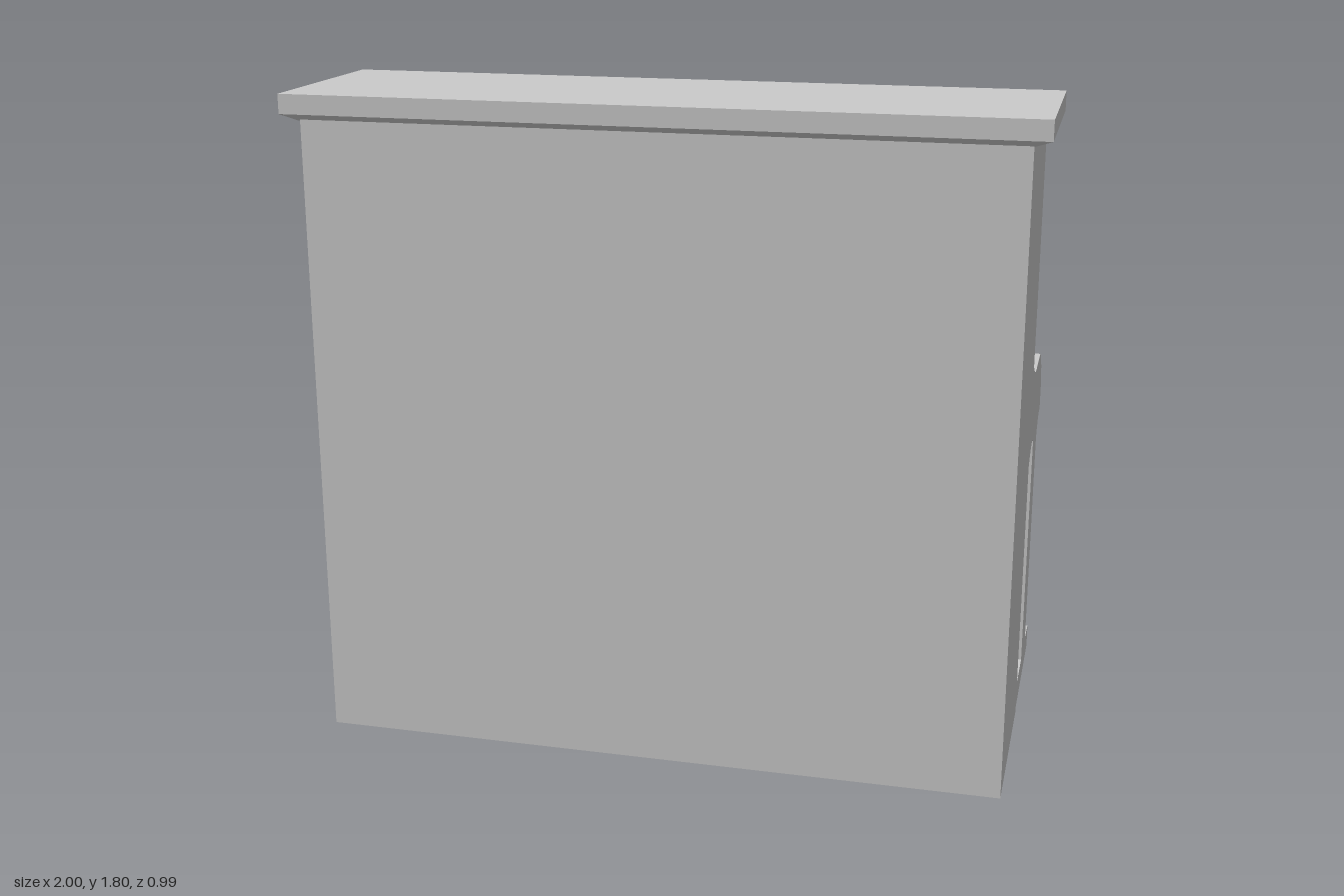
import * as THREE from 'three';

const material = new THREE.MeshStandardMaterial({ color: 0xcccccc, flatShading: true });

function addMesh(parent, name, geometry) {
  const mesh = new THREE.Mesh(geometry, material);
  mesh.name = name;
  parent.add(mesh);
  return mesh;
}

// Box given by its minimum and maximum on each axis
function addBox(parent, name, [x0, x1], [y0, y1], [z0, z1]) {
  const box = addMesh(parent, name, new THREE.BoxGeometry(x1 - x0, y1 - y0, z1 - z0));
  box.position.set((x0 + x1) / 2, (y0 + y1) / 2, (z0 + z1) / 2);
  return box;
}

// Side profile with points [depth towards -z, height], swept from x0 to x1
function sweep(shape, x0, x1) {
  const geometry = new THREE.ExtrudeGeometry(shape, { depth: x1 - x0, bevelEnabled: false, curveSegments: 8 });
  return geometry.rotateY(Math.PI / 2).translate(x0, 0, 0);
}

function polygon(points) {
  return new THREE.Shape(points.map(([d, y]) => new THREE.Vector2(d, y)));
}

// Scrolled arm, leg and foot as one profile
function sideFrameShape() {
  const s = new THREE.Shape();
  s.moveTo(0.04, 1.05);
  s.quadraticCurveTo(0.12, 1.0, 0.18, 1.0);
  s.lineTo(0.36, 1.0);
  s.bezierCurveTo(0.42, 0.985, 0.465, 0.93, 0.493, 0.875);
  s.lineTo(0.493, 0.795);
  s.lineTo(0.455, 0.795);
  s.quadraticCurveTo(0.41, 0.785, 0.37, 0.74);
  s.lineTo(0.37, 0.092);
  s.lineTo(0.42, 0.092);
  s.lineTo(0.493, 0.082);
  s.lineTo(0.493, 0.015);
  s.lineTo(0.04, 0.015);
  s.lineTo(0.04, 0.095);
  s.lineTo(0.21, 0.092);
  s.lineTo(0.21, 0.78);
  s.quadraticCurveTo(0.13, 0.82, 0.04, 0.75);
  s.closePath();
  return s;
}

export function createModel() {
  const piano = new THREE.Group();
  piano.name = 'uprightPiano';

  // Tall case
  addBox(piano, 'case', [-0.945, 0.955], [0, 1.74], [-0.045, 0.485]);

  // Lid with a chamfered lower edge
  const lid = new THREE.BoxGeometry(2, 0.07, 0.555, 1, 2, 1);
  const p = lid.attributes.position;
  for (let i = 0; i < p.count; i++) {
    const y = p.getY(i);
    if (Math.abs(y) < 0.01) p.setY(i, -0.018);
    else if (y < 0) p.setXYZ(i, p.getX(i) * 0.95, y, p.getZ(i) * 0.955);
  }
  lid.computeVertexNormals();
  addMesh(piano, 'lid', lid).position.set(0, 1.77, 0.2175);

  // Mirrored side frames
  const frame = sideFrameShape();
  addMesh(piano, 'leftSideFrame', sweep(frame, 0.88, 0.955));
  addMesh(piano, 'rightSideFrame', sweep(frame, -0.955, -0.88));

  // Key bed with an arched underside, front rail and raised strip behind the keys
  const bed = polygon([
    [0.04, 0.91], [0.28, 0.91], [0.28, 0.955], [0.315, 0.955], [0.34, 0.935], [0.34, 0.9],
    [0.47, 0.9], [0.485, 0.895], [0.495, 0.87], [0.495, 0.795], [0.45, 0.795], [0.41, 0.78],
    [0.37, 0.745], [0.34, 0.745], [0.32, 0.79], [0.21, 0.79], [0.14, 0.8], [0.09, 0.785], [0.04, 0.75],
  ]);
  addMesh(piano, 'keyBed', sweep(bed, -0.88, 0.88));

  // Leaning music desk
  const desk = polygon([
    [0.155, 0.9], [0.207, 0.9], [0.147, 1.24], [0.142, 1.248], [0.105, 1.25], [0.094, 1.2],
  ]);
  addMesh(piano, 'musicDesk', sweep(desk, -0.87, 0.87));

  // Keyboard
  const keys = new THREE.Group();
  keys.name = 'keyboard';
  piano.add(keys);
  const count = 31, start = -0.785, pitch = 1.595 / count;
  for (let i = 0; i < count; i++) {
    const x = start + i * pitch;
    addBox(keys, 'whiteKey', [x + 0.003, x + pitch - 0.003], [0.89, 0.93], [-0.478, -0.338]);
    if (i > 0) addBox(keys, 'blackKey', [x - 0.01, x + 0.01], [0.91, 0.948], [-0.42, -0.338]);
  }

  // Blocks at both ends of the keyboard
  addBox(piano, 'leftKeyBlock', [0.812, 0.88], [0.89, 0.935], [-0.47, -0.338]);
  addBox(piano, 'rightKeyBlock', [-0.88, -0.787], [0.89, 0.935], [-0.47, -0.338]);

  return piano;
}
